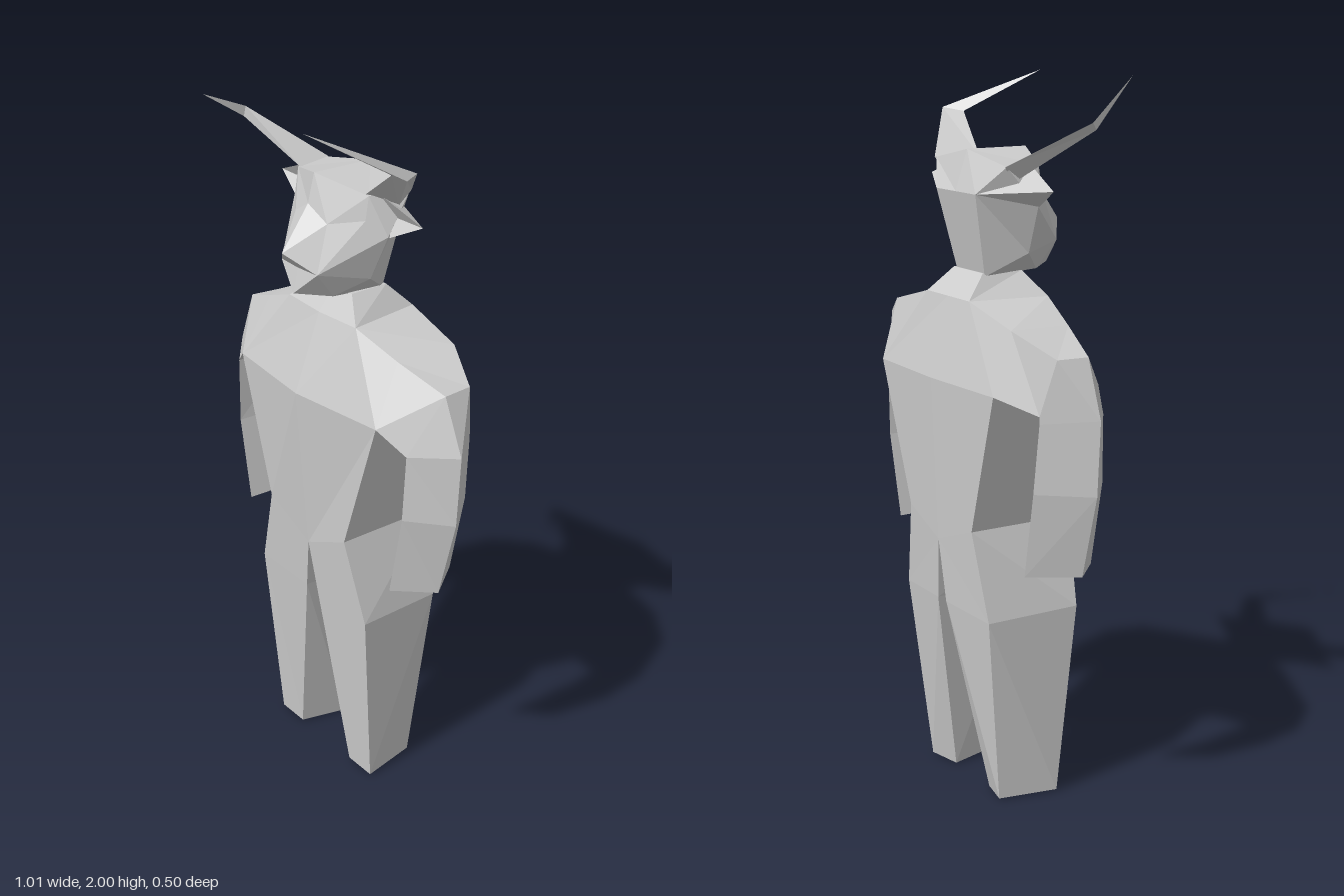
import * as THREE from 'three';

const material = new THREE.MeshStandardMaterial({ color: 0xcccccc, flatShading: true });

// Faceted closed solid from points and polygons, turned so that its faces point outward
function solid(name, points, polygons) {
  const tris = [];
  for (const p of polygons)
    for (let i = 1; i < p.length - 1; i++) tris.push([p[0], p[i], p[i + 1]].map(k => new THREE.Vector3(...points[k])));
  let volume = 0;
  for (const [a, b, c] of tris) volume += a.dot(b.clone().cross(c));
  const positions = [];
  for (const [a, b, c] of tris)
    for (const v of volume < 0 ? [a, c, b] : [a, b, c]) positions.push(v.x, v.y, v.z);
  const geometry = new THREE.BufferGeometry();
  geometry.setAttribute('position', new THREE.Float32BufferAttribute(positions, 3));
  geometry.computeVertexNormals();
  const mesh = new THREE.Mesh(geometry, material);
  mesh.name = name;
  return mesh;
}

// Skin a series of equal-sized rings and cap both ends
function loft(name, rings) {
  const n = rings[0].length, last = (rings.length - 1) * n, faces = [];
  for (let r = 0; r < rings.length - 1; r++)
    for (let i = 0; i < n; i++) {
      const j = (i + 1) % n, a = r * n;
      faces.push([a + i, a + j, a + n + j, a + n + i]);
    }
  const cap = [...Array(n).keys()];
  faces.push([...cap].reverse(), cap.map(i => last + i));
  return solid(name, rings.flat(), faces);
}

const flip = ([x, y, z]) => [-x, y, z];

// Matching left and right lofts
function addPair(parent, name, rings) {
  parent.add(loft('left' + name, rings), loft('right' + name, rings.map(r => r.map(flip))));
}

export function createModel() {
  const model = new THREE.Group();
  model.name = 'hornedFigure';

  // Torso: half sections from front centre round to back centre, mirrored into rings
  const torsoHalves = [
    [[0, 0.72, 0.08], [0.175, 0.8, 0.085], [0.165, 0.8, -0.225], [0, 0.74, -0.232]],
    [[0, 1.2, 0.12], [0.31, 1.2, 0.085], [0.295, 1.2, -0.237], [0, 1.2, -0.25]],
    [[0, 1.42, 0.04], [0.15, 1.42, 0.03], [0.11, 1.42, -0.195], [0, 1.42, -0.195]],
    [[0, 1.485, -0.01], [0.08, 1.485, -0.01], [0.075, 1.485, -0.13], [0, 1.485, -0.13]],
  ];
  model.add(loft('torso', torsoHalves.map(h => [...h, flip(h[2]), flip(h[1])])));

  // Shoulder and arm, tapering from a broad joint to a three-sided forearm
  addPair(model, 'Arm', [
    [[0.31, 1.2, 0.085], [0.15, 1.42, 0.03], [0.11, 1.42, -0.195], [0.295, 1.2, -0.237]],
    [[0.31, 1.2, 0.085], [0.29, 1.365, 0.0], [0.3, 1.37, -0.185], [0.295, 1.2, -0.237]],
    [[0.39, 1.14, 0.045], [0.44, 1.31, -0.04], [0.43, 1.31, -0.13], [0.4, 1.16, -0.163]],
    [[0.39, 1.14, 0.045], [0.505, 1.155, -0.045], [0.505, 1.155, -0.045], [0.4, 1.14, -0.163]],
    [[0.383, 0.95, 0.05], [0.493, 0.95, -0.045], [0.493, 0.95, -0.045], [0.383, 0.95, -0.17]],
    [[0.335, 0.71, 0.05], [0.43, 0.715, -0.045], [0.43, 0.715, -0.045], [0.335, 0.71, -0.165]],
  ]);

  // Leg: outer front, inner front, inner back, outer back
  addPair(model, 'Leg', [
    [[0.175, 0.8, 0.085], [0, 0.72, 0.08], [0, 0.74, -0.232], [0.165, 0.8, -0.225]],
    [[0.248, 0.56, 0.065], [0.027, 0.56, 0.067], [0.022, 0.56, -0.222], [0.22, 0.55, -0.205]],
    [[0.222, 0.005, 0.02], [0.12, 0.005, 0.02], [0.092, 0, -0.125], [0.185, 0.005, -0.15]],
  ]);

  // Head group: skull, horns and ears
  const head = new THREE.Group();
  head.name = 'head';
  head.position.x = -0.006;
  model.add(head);

  // Bent horn, swept out and then forward to a point
  addPair(head, 'Horn', [
    [[0.14, 1.775, -0.01], [0.18, 1.775, -0.13], [0.165, 1.73, -0.1]],
    [[0.322, 1.885, 0.05], [0.372, 1.895, 0.01], [0.358, 1.875, 0.03]],
    [[0.22, 2.0, 0.245], [0.22, 2.0, 0.245], [0.22, 2.0, 0.245]],
  ]);

  // Pointed ear, hollowed in front and running back to the rear of the skull
  const earTip = [0.308, 1.72, -0.065];
  addPair(head, 'Ear', [
    [[0.165, 1.775, -0.04], [0.165, 1.71, -0.08], [0.205, 1.67, -0.04], [0.1, 1.7, -0.172]],
    [earTip, earTip, earTip, earTip],
  ]);

  // Skull: one half with a projecting snout, then its mirror
  const half = [
    [0, 1.81, 0.05], [0, 1.81, -0.135],           // 0-1 crown front, back
    [0.155, 1.775, -0.01], [0.18, 1.775, -0.125], // 2-3 crown corners
    [0, 1.73, 0.07], [0.07, 1.69, 0.06],          // 4-5 brow
    [0.155, 1.71, 0], [0.2, 1.67, -0.04],         // 6-7 temple, cheek
    [0, 1.61, 0.155], [0.08, 1.56, 0.1],          // 8-9 nose, snout side
    [0, 1.56, 0.105], [0, 1.49, 0.12],            // 10-11 mouth, chin
    [0.07, 1.485, 0.04], [0.14, 1.54, -0.03],     // 12-13 jaw
    [0.1, 1.7, -0.172], [0, 1.7, -0.172],         // 14-15 back of skull
    [0.07, 1.475, -0.125], [0, 1.475, -0.125],    // 16-17 nape
  ];
  const faces = [
    [0, 2, 1], [2, 3, 1], [0, 4, 5, 2], [2, 5, 6],
    [4, 8, 5], [5, 8, 9], [5, 9, 6], [6, 9, 7], [9, 13, 7],
    [8, 10, 9], [10, 11, 9], [9, 11, 12], [9, 12, 13],
    [2, 6, 7], [2, 7, 3], [3, 7, 14], [7, 13, 14], [14, 13, 16], [13, 12, 16],
    [11, 17, 16, 12], [3, 14, 15, 1], [14, 16, 17, 15],
  ];
  const mirrored = faces.map(f => f.map(i => i + half.length).reverse());
  head.add(solid('skull', [...half, ...half.map(flip)], [...faces, ...mirrored]));

  return model;
}
